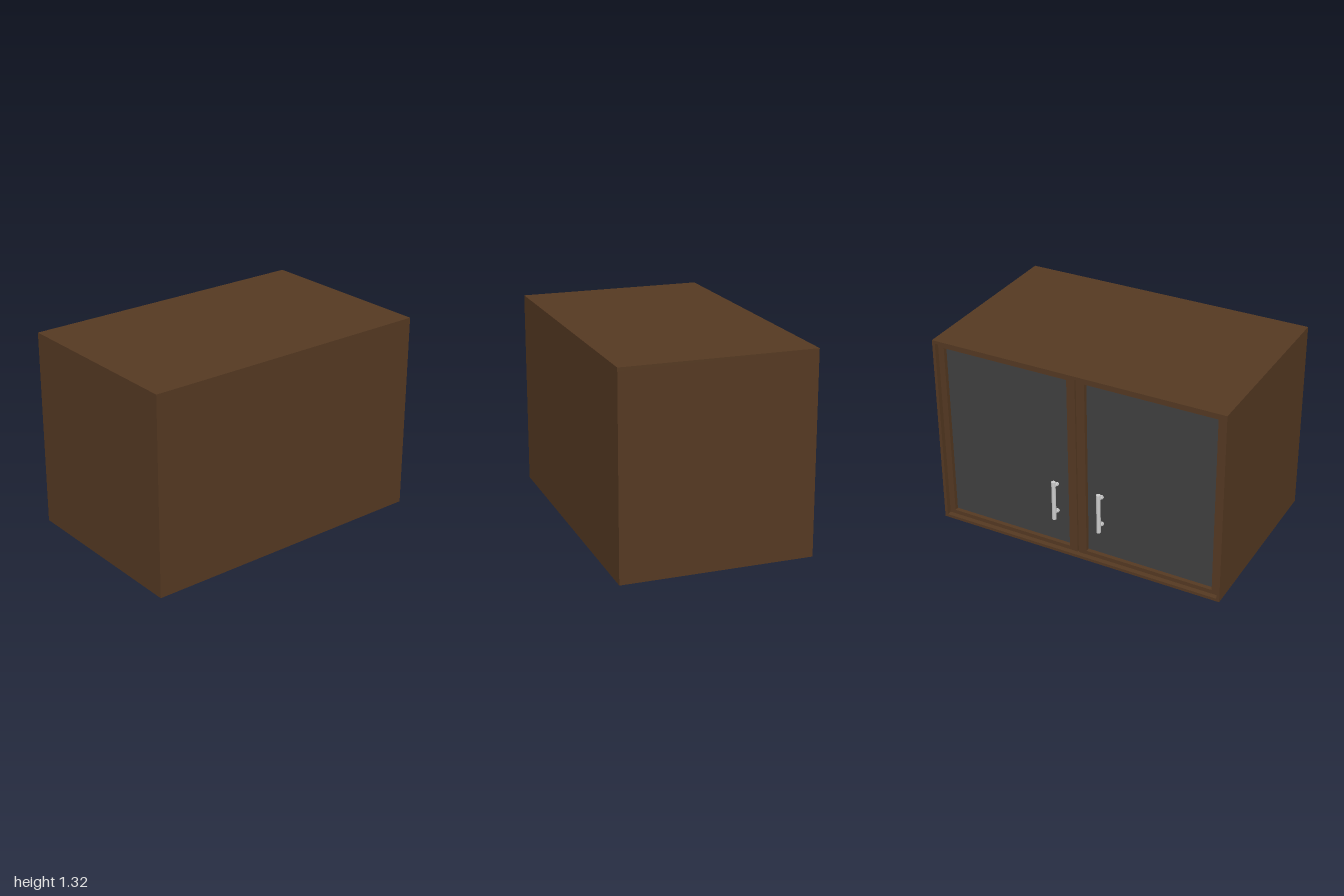
import * as THREE from 'three';

const wood = new THREE.MeshStandardMaterial({ color: 0x553922 });
const glass = new THREE.MeshStandardMaterial({ color: 0x404040 });
const metal = new THREE.MeshStandardMaterial({ color: 0xcccccc });

// Box given by its two extreme corners
function box(name, material, [x0, y0, z0], [x1, y1, z1]) {
  const mesh = new THREE.Mesh(new THREE.BoxGeometry(x1 - x0, y1 - y0, z1 - z0), material);
  mesh.position.set((x0 + x1) / 2, (y0 + y1) / 2, (z0 + z1) / 2);
  mesh.name = name;
  return mesh;
}

function rod(name, radius, length, x, y, z, alongX) {
  const mesh = new THREE.Mesh(new THREE.CylinderGeometry(radius, radius, length, 20), metal);
  if (alongX) mesh.rotation.z = Math.PI / 2;
  mesh.position.set(x, y, z);
  mesh.name = name;
  return mesh;
}

const X0 = -0.624, X1 = 0.627, H = 1.32, T = 0.02; // carcass extents and panel thickness
const doorX = X0 + 0.028, glassX = X0 + 0.056, doorBackX = X0 + 0.075;

function createCarcass() {
  const g = new THREE.Group();
  g.name = 'carcass';
  g.add(
    box('topPanel', wood, [X0, H - T, -1], [X1, H, 1]),
    box('bottomPanel', wood, [X0, 0, -1], [X1, T, 1]),
    box('frontSidePanel', wood, [X0, T, 1 - T], [X1, H - T, 1]),
    box('backSidePanel', wood, [X0, T, -1], [X1, H - T, -1 + T]),
    box('rearPanel', wood, [X1 - T, T, -1 + T], [X1, H - T, 1 - T]),
    box('divider', wood, [doorBackX, T, -0.01], [X1 - T, H - T, 0.01]),
  );
  return g;
}

function createHandle(z) {
  const g = new THREE.Group();
  g.name = 'handle';
  const barX = -0.614;
  g.add(rod('handleBar', 0.014, 0.28, barX, 0.38, z, false));
  for (const y of [0.28, 0.48]) {
    g.add(rod('handlePost', 0.009, glassX - barX, (glassX + barX) / 2, y, z, true));
    g.add(rod('handleFlange', 0.014, 0.008, glassX - 0.004, y, z, true));
  }
  return g;
}

// One framed glass door; side is +1 or -1 along z
function createDoor(side) {
  const g = new THREE.Group();
  g.name = 'door';
  const y0 = T + 0.004, y1 = H - T - 0.004;   // door outline
  const openY0 = 0.052, openY1 = 1.266;       // glazed opening
  const strip = (name, mat, x, ya, yb, za, zb) => box(name, mat,
    [x, ya, Math.min(za * side, zb * side)], [doorBackX, yb, Math.max(za * side, zb * side)]);
  g.add(
    strip('innerStile', wood, doorX, y0, y1, 0.004, 0.061),
    strip('outerStile', wood, doorX, y0, y1, 0.935, 0.976),
    strip('bottomRail', wood, doorX, y0, openY0, 0.061, 0.935),
    strip('topRail', wood, doorX, openY1, y1, 0.061, 0.935),
    strip('glassPane', glass, glassX, openY0, openY1, 0.061, 0.935),
    createHandle(0.16 * side),
  );
  return g;
}

export function createModel() {
  const model = new THREE.Group();
  model.name = 'cabinet';
  model.add(createCarcass(), createDoor(1), createDoor(-1));
  return model;
}
